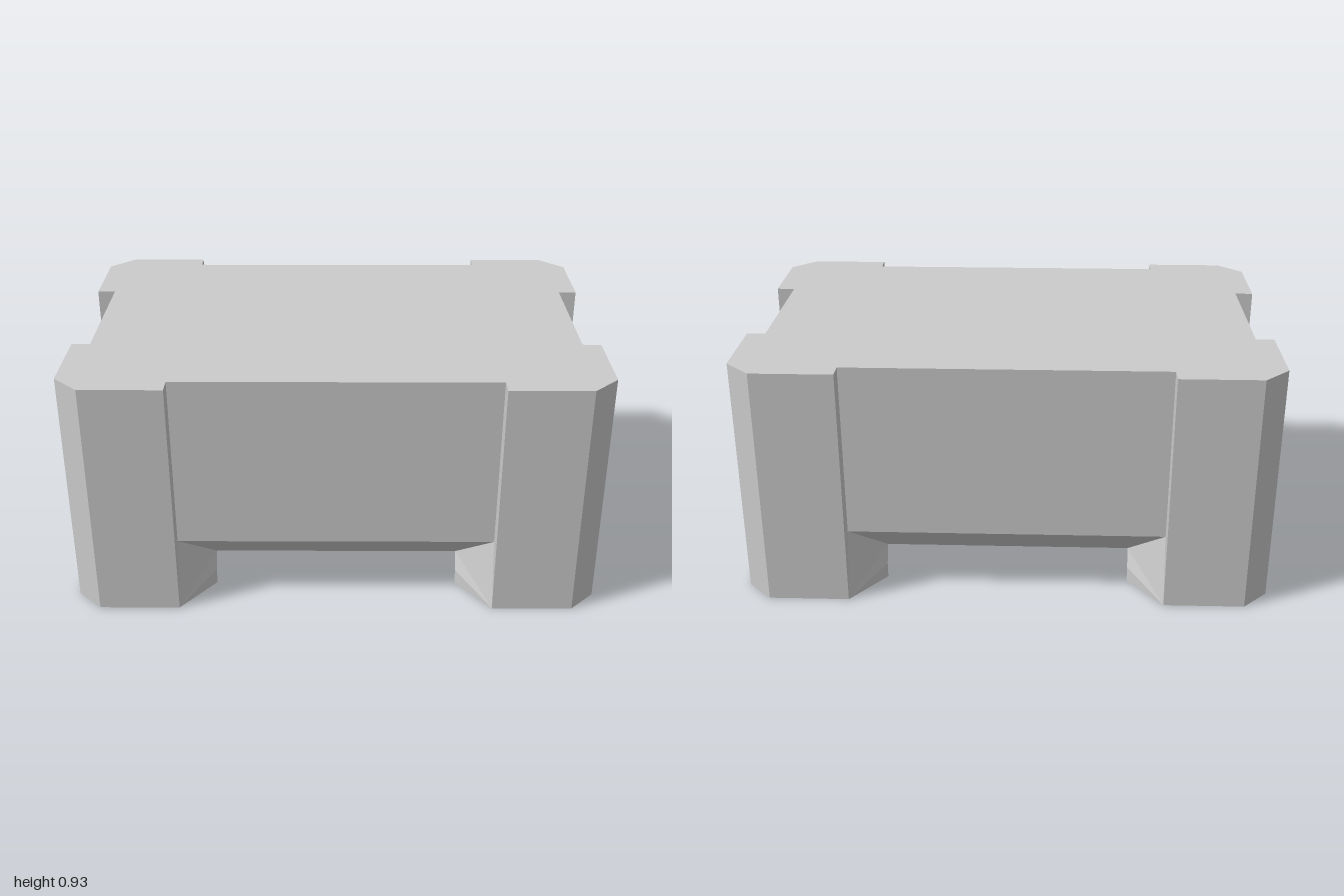
import * as THREE from 'three';
import { ConvexGeometry } from 'three/addons/geometries/ConvexGeometry.js';

const TOP = 0.93, SKIRT = 0.26, BELLY = 0.13, STEP = 0.06;
const material = new THREE.MeshStandardMaterial({ color: 0xcccccc, flatShading: true });
const QUADRANTS = [[1, 1], [-1, 1], [-1, -1], [1, -1]];

function addMesh(group, name, geometry) {
  const mesh = new THREE.Mesh(geometry, material);
  mesh.name = name;
  group.add(mesh);
}

// Flat-faced geometry from convex polygons, each fanned from its first corner
function polygons(faces, sx, sz) {
  const pos = [];
  for (const face of faces) {
    const f = face.map(([x, y, z]) => [x * sx, y, z * sz]);
    for (let i = 1; i < f.length - 1; i++) {
      if (sx * sz > 0) pos.push(...f[0], ...f[i], ...f[i + 1]);
      else pos.push(...f[0], ...f[i + 1], ...f[i]);
    }
  }
  const g = new THREE.BufferGeometry();
  g.setAttribute('position', new THREE.Float32BufferAttribute(pos, 3));
  g.computeVertexNormals();
  return g;
}

// Upper block: plan outline with chamfered corner posts and recessed panels
function blockGeometry() {
  const quarter = [[0.93, 0.27], [1, 0.27], [1, 0.575], [0.905, 0.667], [0.6, 0.667], [0.6, 0.6]];
  const outline = QUADRANTS.flatMap(([sx, sz]) => {
    const pts = quarter.map(([x, z]) => new THREE.Vector2(x * sx, z * sz));
    return sx * sz > 0 ? pts : pts.reverse();
  });
  const g = new THREE.ExtrudeGeometry(new THREE.Shape(outline), { depth: TOP - SKIRT, bevelEnabled: false });
  return g.rotateX(-Math.PI / 2).translate(0, SKIRT, 0);
}

// Underside: eight-sided taper between the feet
function bellyGeometry() {
  const ring = [[0.6, SKIRT, 0.6], [0.93, SKIRT, 0.27], [0.47, BELLY, 0.47], [0.8, BELLY, 0.135]];
  return new ConvexGeometry(QUADRANTS.flatMap(([sx, sz]) =>
    ring.map(([x, y, z]) => new THREE.Vector3(x * sx, y, z * sz))));
}

// Foot: chamfered outside, flared flanks, slanted inner face, stepped notch in the sole
function footGeometry(sx, sz) {
  const plan = [[0.6, 0.667], [0.905, 0.667], [1, 0.575], [1, 0.27]];
  const t = plan.map(([x, z]) => [x, SKIRT, z]);
  const b = plan.map(([x, z]) => [x, 0, z]);
  const c1 = [0.6, SKIRT, 0.6], c2 = [0.93, SKIRT, 0.27];
  const d1 = [0.47, BELLY, 0.47], d2 = [0.8, BELLY, 0.135];
  const notch = [[0.47, 0.5], [0.83, 0.5], [0.83, 0.135]];
  const [r1, ra, r2] = notch.map(([x, z]) => [x, STEP, z]);
  const [e1, ea, e2] = notch.map(([x, z]) => [x, 0, z]);
  const outer = [0, 1, 2].map((i) => [b[i], b[i + 1], t[i + 1], t[i]]);
  return polygons([
    ...outer,
    [b[0], t[0], c1, d1, r1, e1],          // flank along the long side
    [b[3], e2, r2, d2, c2, t[3]],          // flank along the short side
    [r2, r1, d1, d2],                      // slanted inner face
    [r1, r2, ra],                          // notch ceiling
    [ea, e1, r1, ra], [e2, ea, ra, r2],    // notch walls
    [ea, e2, b[3], b[2], b[1], b[0], e1],  // sole
  ], sx, sz);
}

export function createModel() {
  const group = new THREE.Group();
  group.name = 'footedBlock';
  addMesh(group, 'upperBlock', blockGeometry());
  addMesh(group, 'underside', bellyGeometry());
  for (const [sx, sz] of QUADRANTS) {
    const name = (sz > 0 ? 'front' : 'back') + (sx > 0 ? 'Left' : 'Right') + 'Foot';
    addMesh(group, name, footGeometry(sx, sz));
  }
  return group;
}
